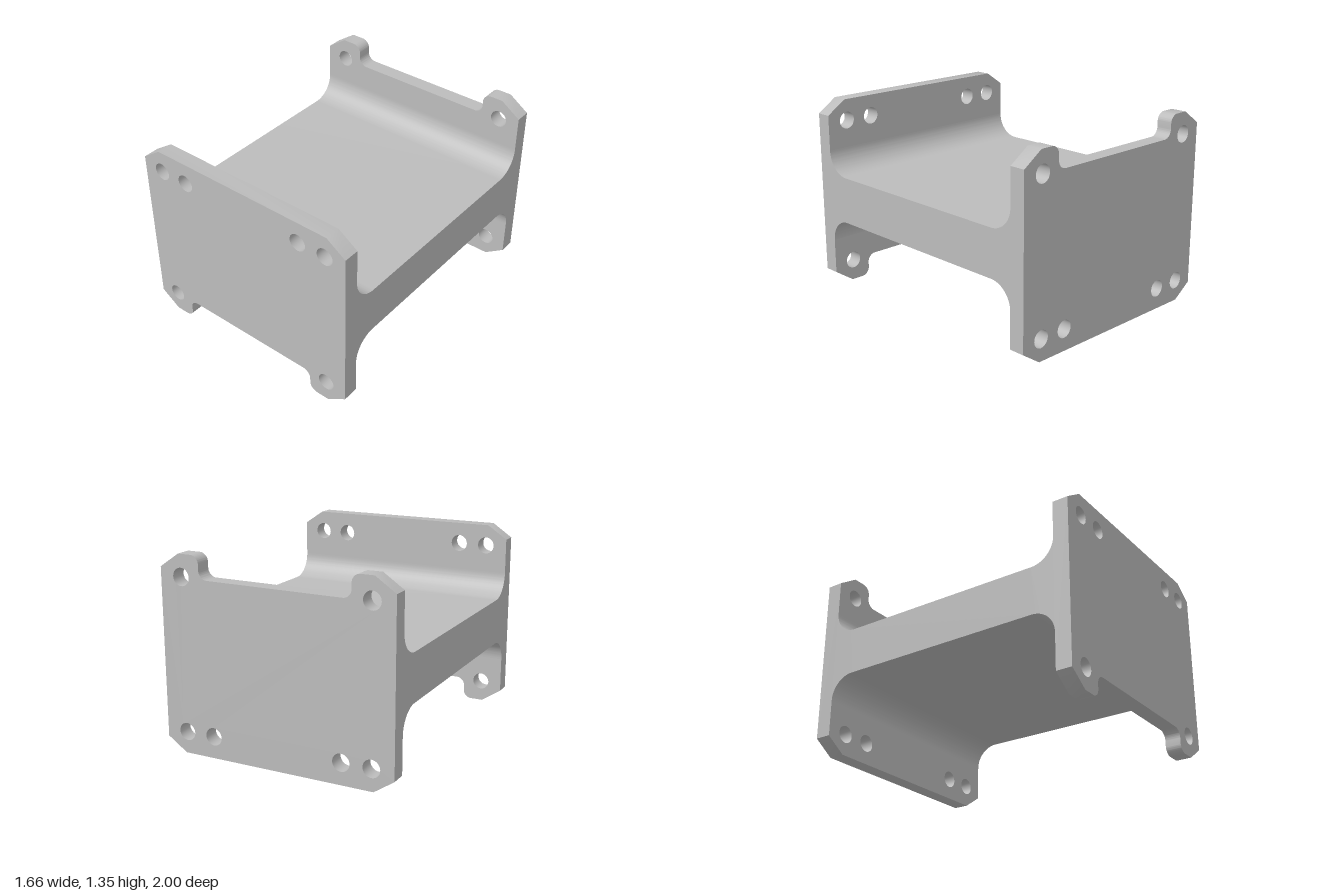
import * as THREE from 'three';
import { toCreasedNormals } from 'three/addons/utils/BufferGeometryUtils.js';

const W = 0.83, H = 1.345;        // half width, full height
const T = 0.11;                   // end plate thickness
const HOLE = 0.06, HOLE_Y = 0.15; // bolt hole radius and distance from edge

const extrude = (shape, depth) => toCreasedNormals(
  new THREE.ExtrudeGeometry(shape, { depth, bevelEnabled: false, curveSegments: 16 }), 0.6);

// End plate: chamfered corners, filleted notch at the bottom, six bolt holes
function plateGeometry() {
  const s = new THREE.Shape();
  const cx = 0.69, cy = 0.095, nx = 0.54, ny = 0.155, r = 0.06;
  s.moveTo(-cx, 0);
  s.lineTo(-nx - r, 0);
  s.absarc(-nx - r, r, r, -Math.PI / 2, 0, false);
  s.lineTo(-nx, ny - r);
  s.absarc(-nx + r, ny - r, r, Math.PI, Math.PI / 2, true);
  s.lineTo(nx - r, ny);
  s.absarc(nx - r, ny - r, r, Math.PI / 2, 0, true);
  s.lineTo(nx, r);
  s.absarc(nx + r, r, r, Math.PI, Math.PI * 1.5, false);
  s.lineTo(cx, 0);
  s.lineTo(W, cy);
  s.lineTo(W, H - cy);
  s.lineTo(cx, H);
  s.lineTo(-cx, H);
  s.lineTo(-W, H - cy);
  s.lineTo(-W, cy);
  s.closePath();
  for (const side of [-1, 1]) {
    for (const [x, y] of [[0.675, HOLE_Y], [0.675, H - HOLE_Y], [0.467, H - HOLE_Y]]) {
      const hole = new THREE.Path();
      hole.absarc(side * x, y, HOLE, 0, Math.PI * 2, true);
      s.holes.push(hole);
    }
  }
  return extrude(s, T).translate(0, -H / 2, 1 - T);
}

// Web: horizontal slab flaring into both plates through large fillets
function webGeometry() {
  const z = 1 - T, h = 0.164, r = 0.165;
  const s = new THREE.Shape();
  s.moveTo(-z + r, -h);
  s.lineTo(z - r, -h);
  s.absarc(z - r, -h - r, r, Math.PI / 2, 0, true);
  s.lineTo(z, h + r);
  s.absarc(z - r, h + r, r, 0, -Math.PI / 2, true);
  s.lineTo(-z + r, h);
  s.absarc(-z + r, h + r, r, -Math.PI / 2, -Math.PI, true);
  s.lineTo(-z, -h - r);
  s.absarc(-z + r, -h - r, r, Math.PI, Math.PI / 2, true);
  return extrude(s, W * 2).translate(0, 0, -W).rotateY(Math.PI / 2);
}

export function createModel() {
  const metal = new THREE.MeshStandardMaterial({ color: 0xbcbcbc });
  metal.name = 'grey metal';
  const model = new THREE.Group();
  model.name = 'mountingBracket';

  const add = (name, geometry) => {
    const mesh = new THREE.Mesh(geometry, metal);
    mesh.name = name;
    mesh.position.y = H / 2;
    model.add(mesh);
    return mesh;
  };

  const plate = plateGeometry();
  add('frontPlate', plate);
  // The back plate is the front one turned upside down
  add('backPlate', plate).rotation.x = Math.PI;
  add('web', webGeometry());
  return model;
}
